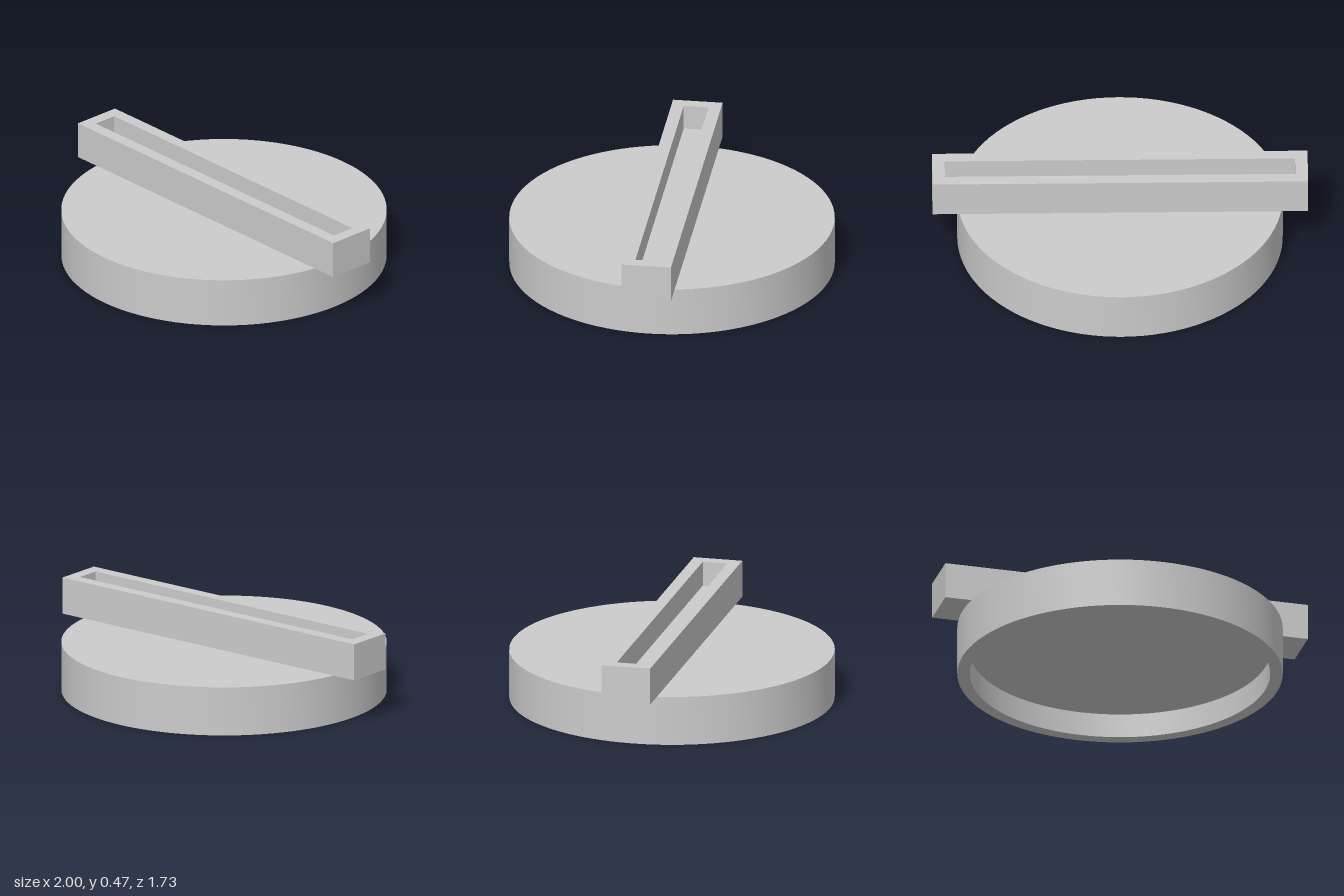
import * as THREE from 'three';
import { toCreasedNormals } from 'three/addons/utils/BufferGeometryUtils.js';

const U = 1 / 15; // wall thickness, the module of every dimension

function rect(path, hx, hy) {
  path.moveTo(-hx, -hy);
  path.lineTo(hx, -hy);
  path.lineTo(hx, hy);
  path.lineTo(-hx, hy);
  path.closePath();
  return path;
}

export function createModel() {
  const model = new THREE.Group();
  const material = new THREE.MeshStandardMaterial({ color: 0xcccccc });
  const add = (name, geometry, y, parent) => {
    const mesh = new THREE.Mesh(geometry, material);
    mesh.name = name;
    mesh.position.y = y;
    parent.add(mesh);
  };

  // Round lid, hollowed from below
  const profile = [
    [0, 2 * U], [12 * U, 2 * U], [12 * U, 0],
    [13 * U, 0], [13 * U, 4 * U], [0, 4 * U],
  ].map(([r, y]) => new THREE.Vector2(r, y));
  add('lid', toCreasedNormals(new THREE.LatheGeometry(profile, 96), 0.6), 0, model);

  // Bar handle across the lid, with a blind slot open at the top
  const handle = new THREE.Group();
  handle.name = 'handle';
  handle.position.y = 4 * U;
  model.add(handle);

  const outline = rect(new THREE.Shape(), 15 * U, 2 * U);
  outline.holes.push(rect(new THREE.Path(), 14 * U, U));
  const walls = new THREE.ExtrudeGeometry(outline, { depth: 3 * U, bevelEnabled: false });
  walls.rotateX(-Math.PI / 2);
  add('handleWalls', walls, 0, handle);
  add('slotFloor', new THREE.BoxGeometry(28 * U, U, 2 * U), U / 2, handle);

  return model;
}
